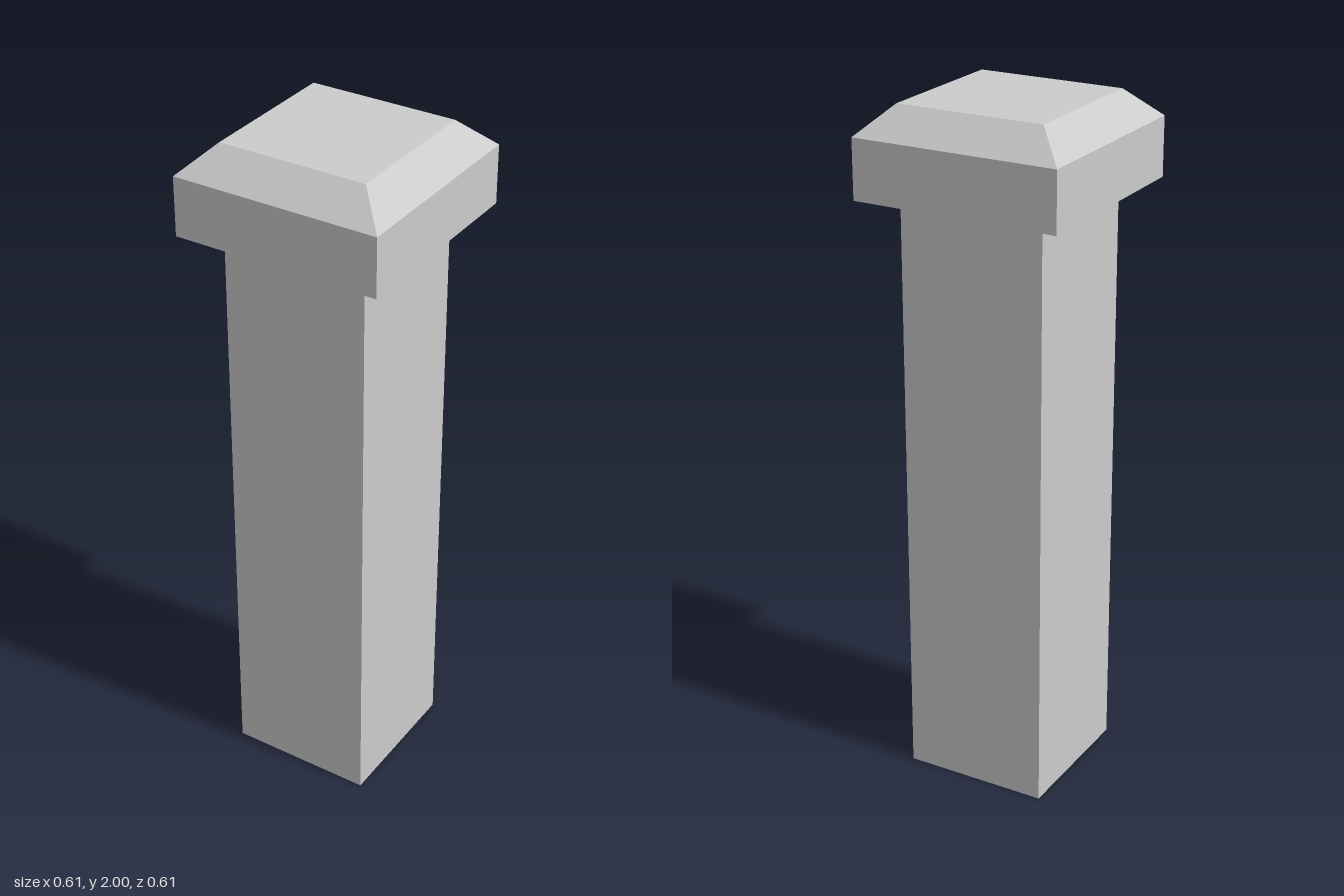
import * as THREE from 'three';

const material = new THREE.MeshStandardMaterial({ color: 0xcccccc, flatShading: true });

// Square solid from a profile of [half width, height] pairs, listed bottom to top
function squareTurned(name, profile) {
  const points = profile.map(([half, y]) => new THREE.Vector2(half * Math.SQRT2, y));
  const geometry = new THREE.LatheGeometry(points, 4, Math.PI / 4).toNonIndexed();
  geometry.computeVertexNormals();
  const mesh = new THREE.Mesh(geometry, material);
  mesh.name = name;
  return mesh;
}

export function createModel() {
  const model = new THREE.Group();
  model.name = 'squarePost';

  const capBottom = 1.747;

  // Plain square shaft
  const shaft = new THREE.Mesh(new THREE.BoxGeometry(0.43, capBottom, 0.43), material);
  shaft.name = 'shaft';
  shaft.position.y = capBottom / 2;
  model.add(shaft);

  // Overhanging cap with a bevelled top
  model.add(squareTurned('cap', [
    [0, capBottom], [0.304, capBottom], [0.304, 1.918], [0.218, 2], [0, 2],
  ]));

  return model;
}
